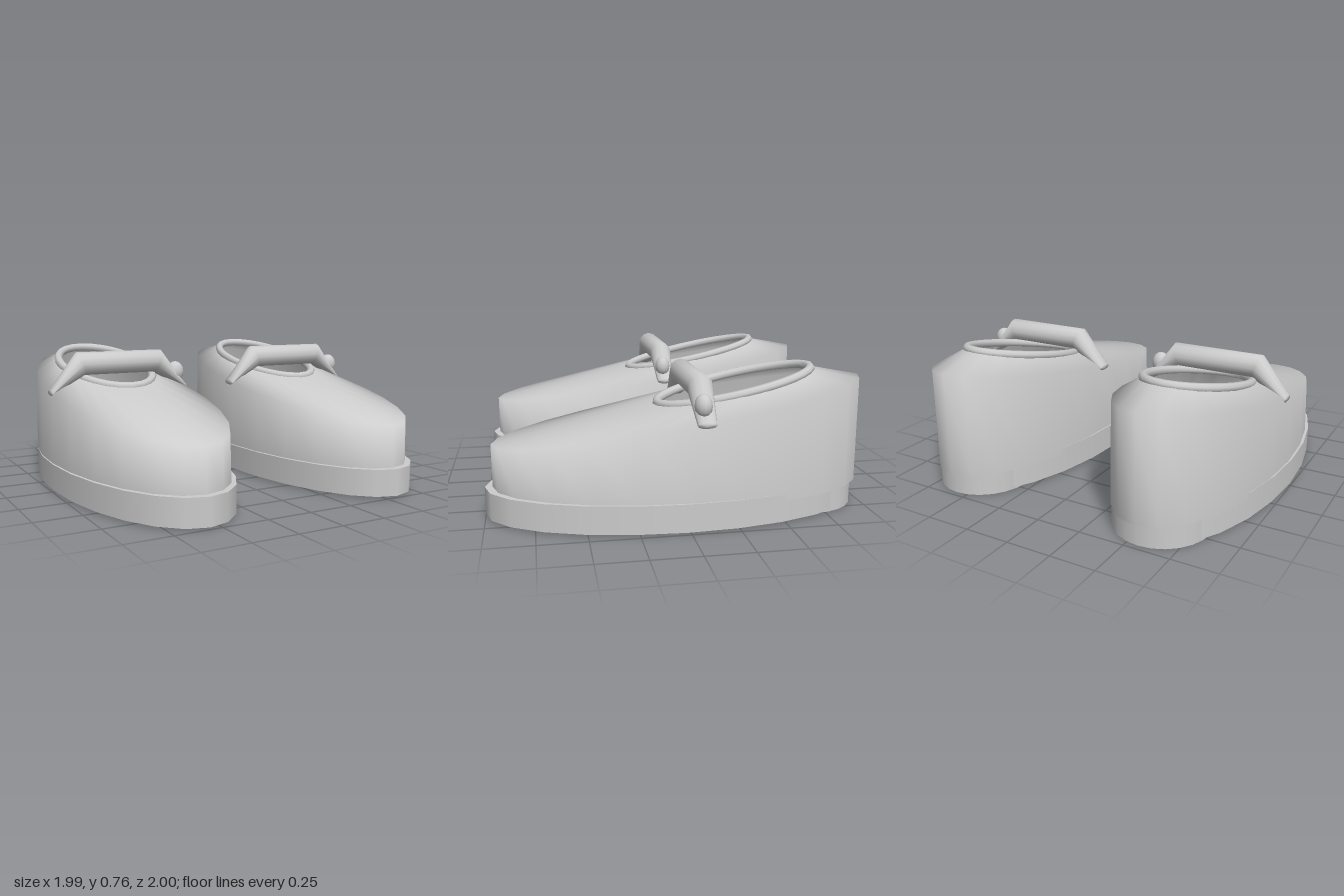
import * as THREE from 'three';

const SEG = 24;
const leather = new THREE.MeshStandardMaterial({ color: 0xcccccc, side: THREE.DoubleSide });
leather.name = 'light grey';

// Joins closed rings of points into one smooth skin
function loft(rings) {
  const n = rings[0].length, index = [];
  for (let j = 0; j < rings.length - 1; j++) {
    for (let i = 0; i < n; i++) {
      const a = j * n + i, b = j * n + (i + 1) % n;
      index.push(a, b, a + n, b, b + n, a + n);
    }
  }
  const geo = new THREE.BufferGeometry().setFromPoints(rings.flat());
  geo.setIndex(index);
  geo.computeVertexNormals();
  return geo;
}

// Ring of points; f maps sine and cosine to a position
function ring(n, f) {
  return Array.from({ length: n }, (_, i) => {
    const t = (i / n) * Math.PI * 2;
    return new THREE.Vector3(...f(Math.sin(t), Math.cos(t)));
  });
}

function part(name, geo) {
  const mesh = new THREE.Mesh(geo, leather);
  mesh.name = name;
  return mesh;
}

// Upright elliptical slab
function slab(name, rx, rz, y0, y1, z) {
  const geo = new THREE.CylinderGeometry(1, 1, y1 - y0, SEG);
  geo.scale(rx, 1, rz).translate(0, (y0 + y1) / 2, z);
  return part(name, geo);
}

const rimHeight = z => 0.38 + (0.96 - z) * 0.156;
const collarHeight = z => 0.652 - (z + 0.31) * 0.21;

function createShoe() {
  const shoe = new THREE.Group();
  shoe.add(slab('sole', 0.43, 0.985, 0.01, 0.155, 0.015));
  shoe.add(slab('heel', 0.26, 0.27, 0, 0.12, -0.7));

  // Upper: side wall up to the sloping rim, then in to the foot opening
  const wall = (rx, y) => ring(SEG, (s, c) => {
    const z = -0.02 + 0.98 * c;
    return [rx * s, y ?? rimHeight(z), z];
  });
  const opening = ring(SEG, (s, c) => {
    const z = -0.31 + 0.41 * c;
    return [0.25 * s, collarHeight(z), z];
  });
  shoe.add(part('upper', loft([wall(0.422, 0.12), wall(0.405), opening])));

  // Rolled collar round the opening
  const collarPath = new THREE.CatmullRomCurve3(opening, true);
  shoe.add(part('collar', new THREE.TubeGeometry(collarPath, 32, 0.024, 8, true)));

  // Strap: x, x skew, y, y radius, z radius of each section
  const sections = [
    [-0.405, 0, 0.535, 0, 0],
    [-0.405, 0, 0.535, 0.015, 0.048],
    [-0.23, -0.025, 0.688, 0.064, 0.065],
    [0.23, 0.025, 0.688, 0.064, 0.065],
    [0.405, 0, 0.535, 0.015, 0.048],
    [0.405, 0, 0.535, 0, 0],
  ];
  shoe.add(part('strap', loft(sections.map(([x, skew, y, ry, rz]) =>
    ring(12, (s, c) => [x + skew * c, y + ry * c, -0.075 + rz * s])))));

  // Button on the strap end
  const button = part('button', new THREE.SphereGeometry(1, 12, 8));
  button.scale.set(0.053, 0.06, 0.045);
  button.position.set(0.348, 0.62, -0.067);
  shoe.add(button);
  return shoe;
}

export function createModel() {
  const model = new THREE.Group();
  model.name = 'pair of shoes';
  for (const [name, x] of [['rightShoe', -0.565], ['leftShoe', 0.565]]) {
    const shoe = createShoe();
    shoe.name = name;
    shoe.position.x = x;
    model.add(shoe);
  }
  return model;
}
